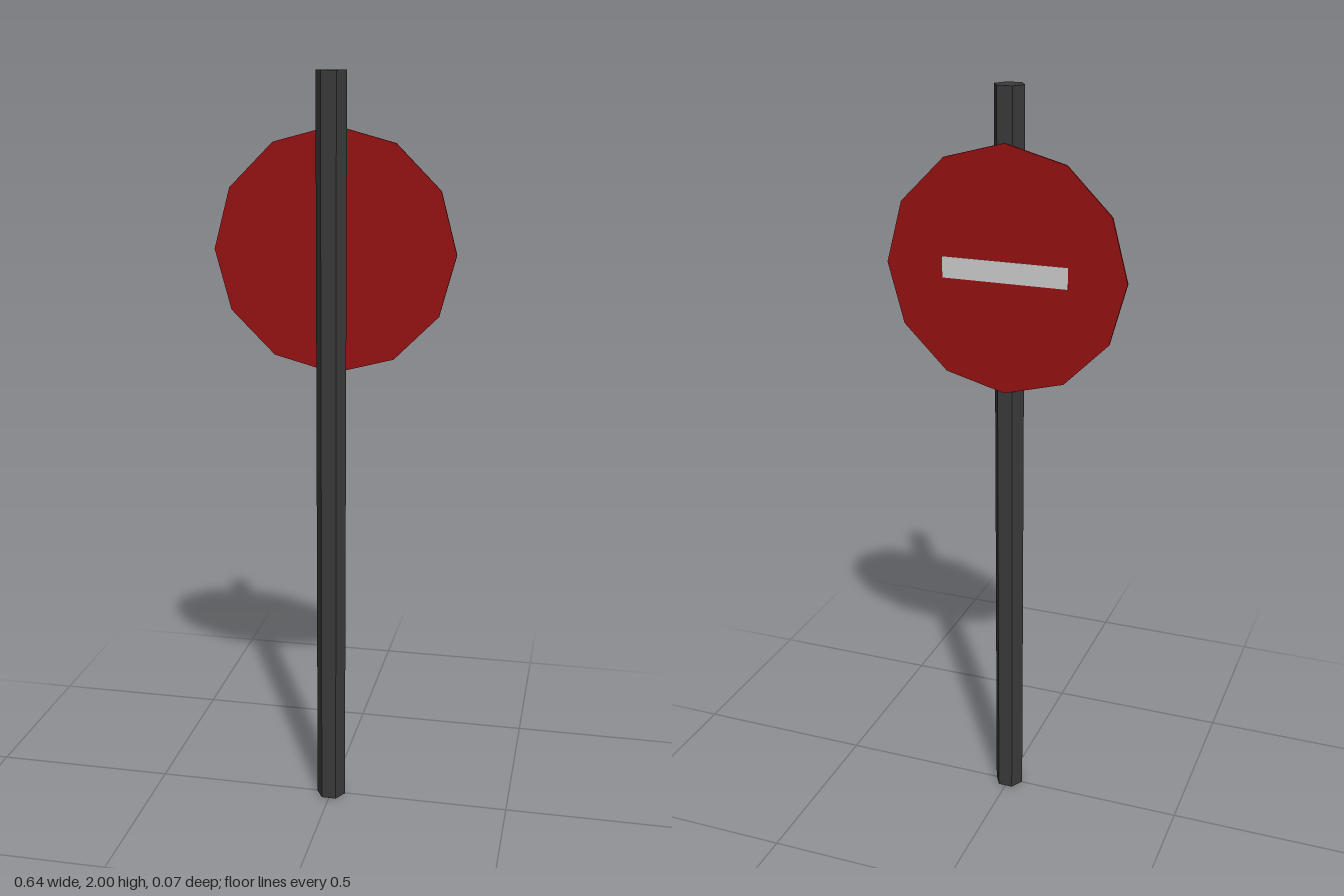
import * as THREE from 'three';

export function createModel() {
  const group = new THREE.Group();
  group.name = 'roadSign';

  const add = (name, geometry, color, x, y, z) => {
    const material = new THREE.MeshStandardMaterial({ color, flatShading: true });
    const mesh = new THREE.Mesh(geometry, material);
    mesh.name = name;
    mesh.position.set(x, y, z);
    group.add(mesh);
  };

  // Six-sided post with corners pointing to the left and right
  const post = new THREE.CylinderGeometry(0.04, 0.04, 2, 6).rotateY(Math.PI / 6);
  add('post', post, 0x3a3a3a, 0, 1, 0.002);

  // Thin twelve-sided plate fixed to the back of the post
  const plate = new THREE.CylinderGeometry(0.32, 0.32, 0.006, 12).rotateX(Math.PI / 2);
  add('signPlate', plate, 0x961111, 0, 1.545, -0.0335);

  // Pale horizontal bar on the face of the plate
  add('signBar', new THREE.BoxGeometry(0.335, 0.055, 0.002), 0xcccccc, 0, 1.545, -0.0363);

  return group;
}
